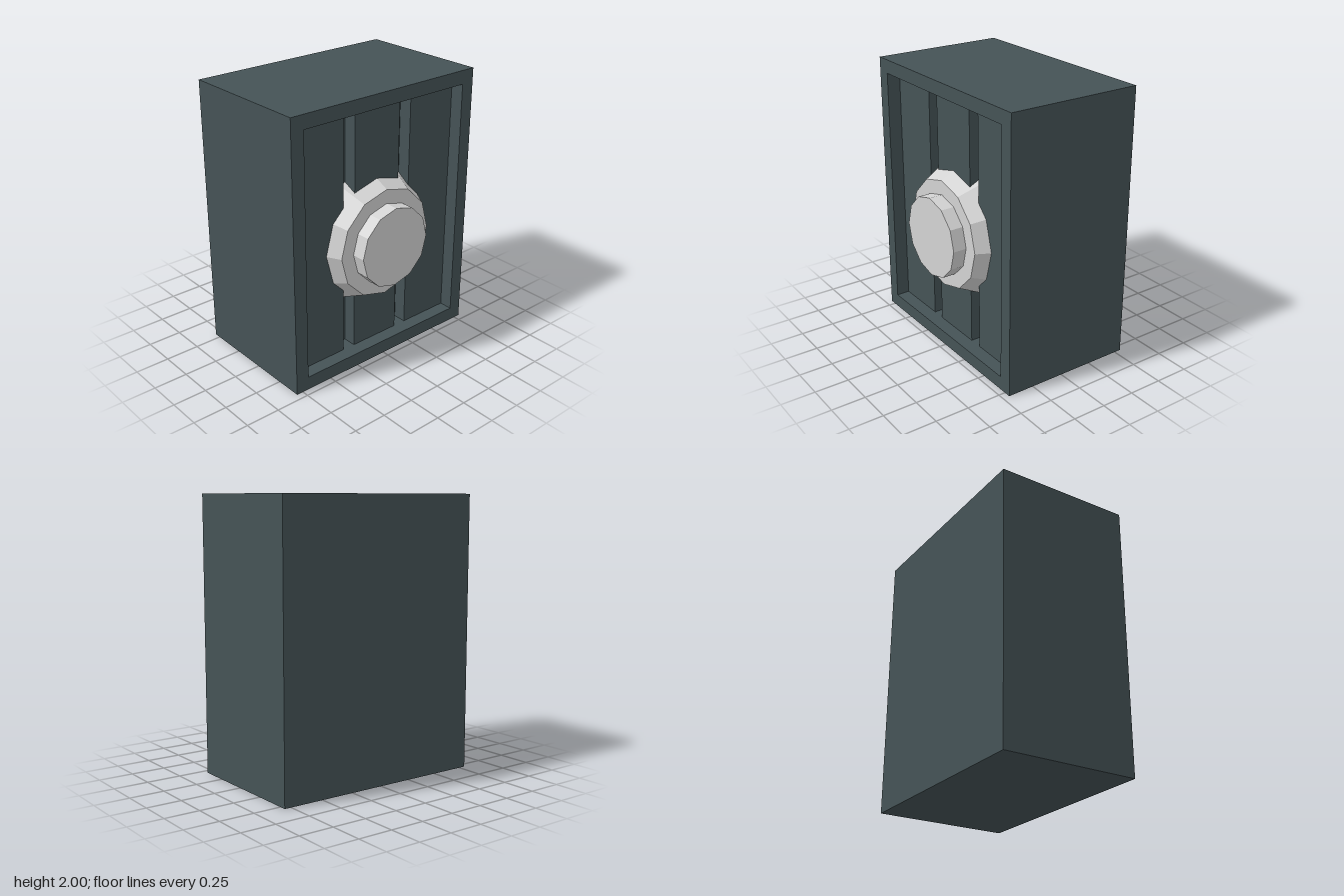
import * as THREE from 'three';

export function createModel() {
  const group = new THREE.Group();
  const slate = new THREE.MeshStandardMaterial({ color: 0x455356, flatShading: true });
  slate.name = 'dark slate';
  const silver = new THREE.MeshStandardMaterial({ color: 0xd3d3d3, flatShading: true });
  silver.name = 'light grey';

  const add = (name, geometry, material, x, y, z) => {
    const mesh = new THREE.Mesh(geometry, material);
    mesh.name = name;
    mesh.position.set(x, y, z);
    group.add(mesh);
  };
  const rect = (Path, w, y0, y1) => new Path([
    new THREE.Vector2(-w, y0), new THREE.Vector2(w, y0),
    new THREE.Vector2(w, y1), new THREE.Vector2(-w, y1),
  ]);

  // Solid body up to the floor of the grooves
  add('body', new THREE.BoxGeometry(1.6, 2, 0.8), slate, 0, 1, -0.15);

  // Raised rim around the front recess
  const rim = rect(THREE.Shape, 0.8, 0, 2);
  rim.holes.push(rect(THREE.Path, 0.7, 0.1, 1.9));
  add('frontFrame', new THREE.ExtrudeGeometry(rim, { depth: 0.2, bevelEnabled: false }), slate, 0, 0, 0.25);

  // Three recessed panels with two deeper grooves between them
  for (const [name, x] of [['rightPanel', -0.5], ['middlePanel', 0], ['leftPanel', 0.5]]) {
    add(name, new THREE.BoxGeometry(0.4, 1.8, 0.1), slate, x, 1, 0.3);
  }

  // Twelve-sided tapered dial base reaching into the grooves, and its knob
  const disc = (front, back, depth) =>
    new THREE.CylinderGeometry(front, back, depth, 12).rotateX(Math.PI / 2);
  add('dialBase', disc(0.4, 0.5, 0.2), silver, 0, 0.905, 0.35);
  add('dialKnob', disc(0.295, 0.295, 0.1), silver, 0, 0.905, 0.5);

  return group;
}
